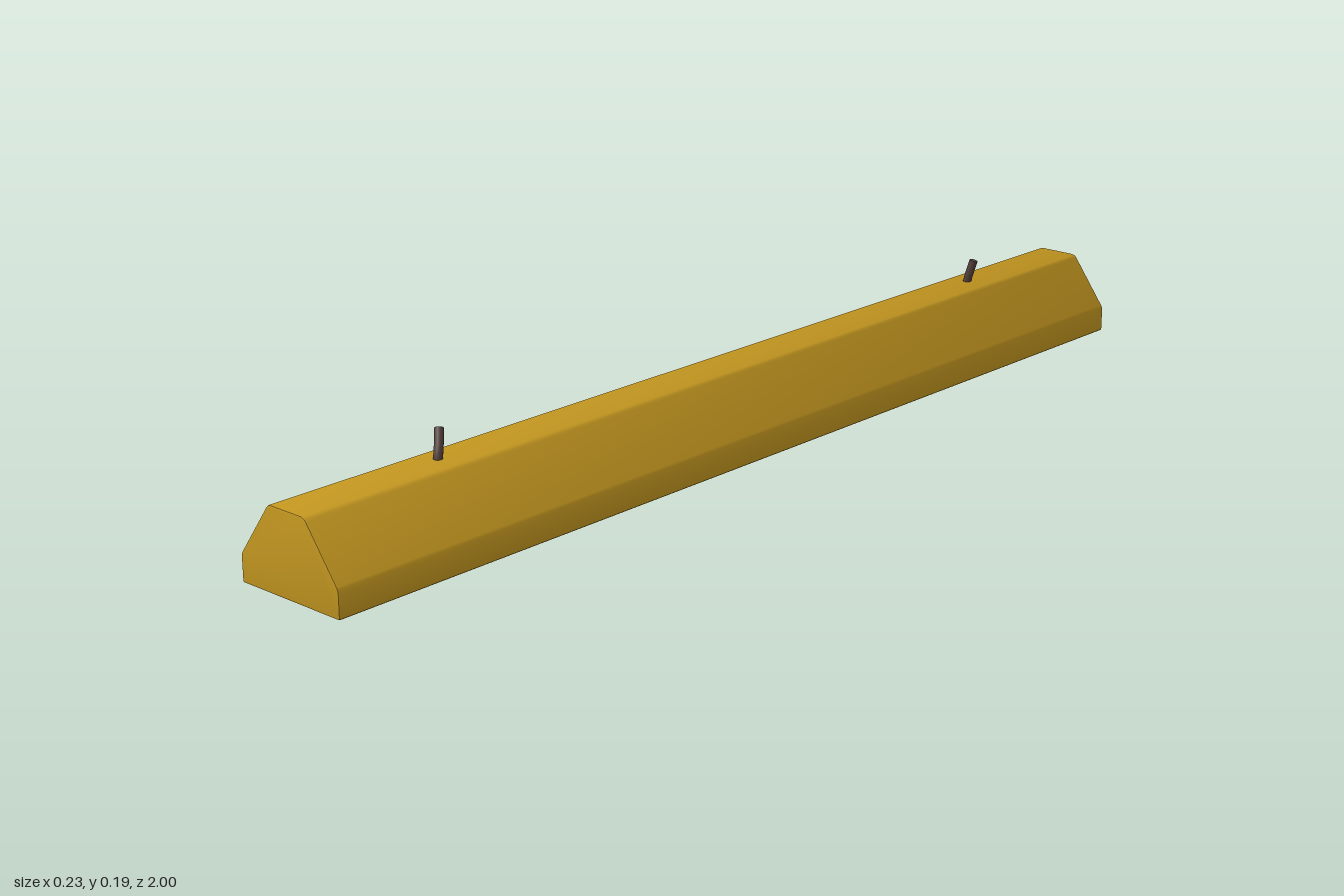
import * as THREE from 'three';
import { toCreasedNormals } from 'three/addons/utils/BufferGeometryUtils.js';

const concrete = new THREE.MeshStandardMaterial({ name: 'yellow paint', color: 0xc0941f });
const steel = new THREE.MeshStandardMaterial({ name: 'rusty steel', color: 0x503d38 });

// Closed outline with each corner rounded by its own radius: [x, y, r]
function roundedOutline(corners) {
  const shape = new THREE.Shape();
  const n = corners.length;
  corners.forEach(([x, y, r], i) => {
    const p = new THREE.Vector2(x, y);
    const toward = (c) => new THREE.Vector2(c[0], c[1]).sub(p).setLength(r).add(p);
    const a = toward(corners[(i + n - 1) % n]);
    const b = toward(corners[(i + 1) % n]);
    if (i === 0) shape.moveTo(a.x, a.y);
    else shape.lineTo(a.x, a.y);
    shape.quadraticCurveTo(x, y, b.x, b.y);
  });
  shape.closePath();
  return shape;
}

// Bent rod: a tube with closed ends
function rebar(name, points, radius) {
  const group = new THREE.Group();
  group.name = name;
  const curve = new THREE.CatmullRomCurve3(points.map((p) => new THREE.Vector3(...p)));
  const rod = new THREE.Mesh(new THREE.TubeGeometry(curve, 10, radius, 12), steel);
  rod.name = 'rod';
  group.add(rod);
  const cap = new THREE.Mesh(new THREE.CircleGeometry(radius, 12), steel);
  cap.name = 'rodEnd';
  cap.position.copy(curve.getPoint(1));
  cap.quaternion.setFromUnitVectors(new THREE.Vector3(0, 0, 1), curve.getTangent(1));
  group.add(cap);
  return group;
}

export function createModel() {
  const model = new THREE.Group();
  model.name = 'parkingStop';

  // Long block with sloped shoulders and softened edges
  const bevel = 0.003;
  const outline = roundedOutline([
    [-0.114, 0, 0.004], [0.114, 0, 0.004], [0.114, 0.048, 0.006],
    [0.042, 0.146, 0.008], [-0.042, 0.146, 0.008], [-0.114, 0.048, 0.006],
  ]);
  const geometry = new THREE.ExtrudeGeometry(outline, {
    depth: 2 - 2 * bevel, curveSegments: 3, bevelEnabled: true,
    bevelThickness: bevel, bevelSize: bevel, bevelOffset: -bevel, bevelSegments: 2,
  });
  geometry.translate(0, 0, -1 + bevel);
  const block = new THREE.Mesh(toCreasedNormals(geometry, 0.5), concrete);
  block.name = 'block';
  model.add(block);

  // Bent anchor rods sticking out of the top
  model.add(rebar('frontRebar', [[-0.002, 0.12, 0.694], [-0.002, 0.147, 0.692], [-0.009, 0.168, 0.683], [-0.02, 0.188, 0.672]], 0.008));
  model.add(rebar('backRebar', [[-0.003, 0.12, -0.693], [-0.001, 0.147, -0.694], [0.004, 0.168, -0.696], [0.009, 0.188, -0.699]], 0.008));
  return model;
}
